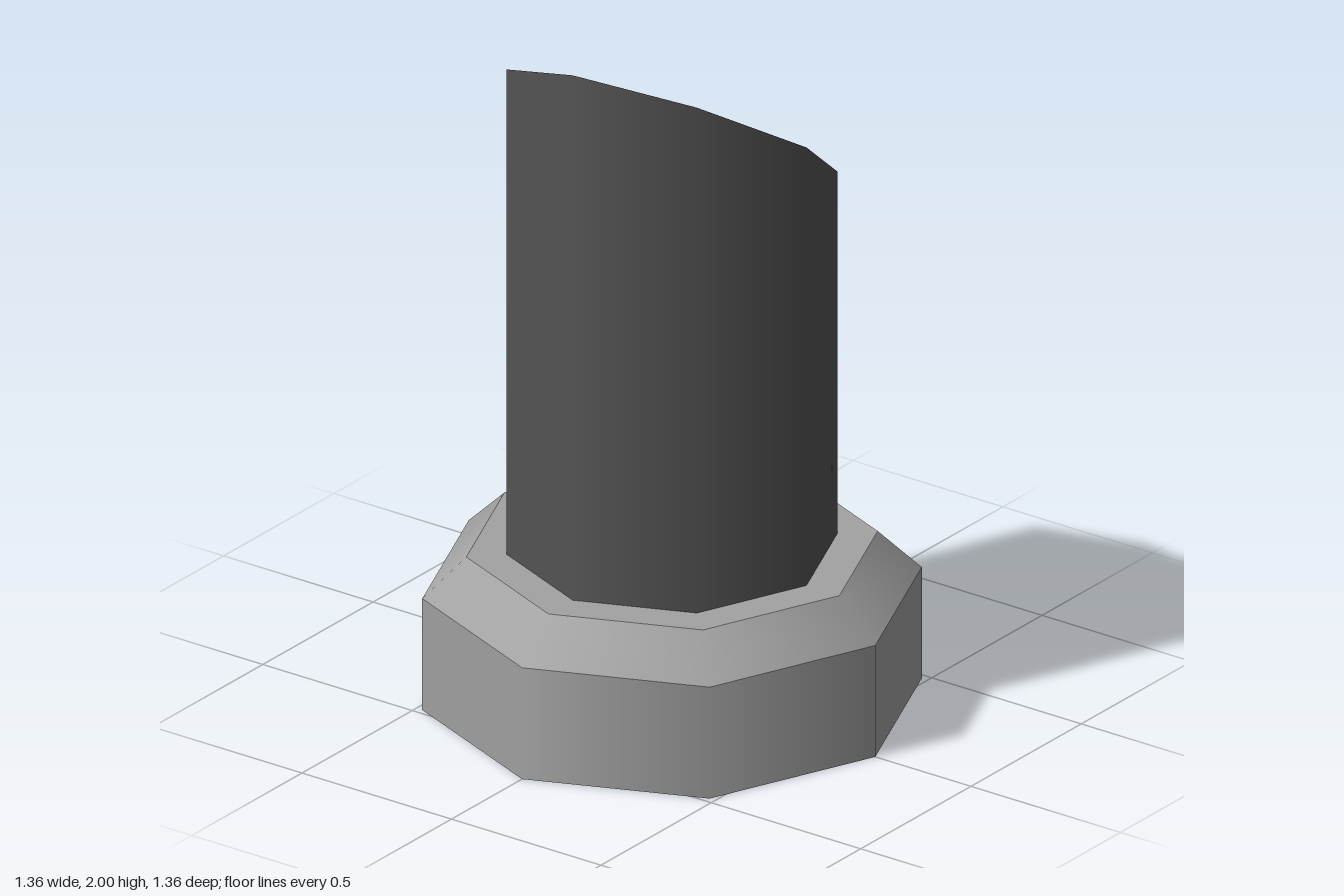
import * as THREE from 'three';
import { mergeGeometries } from 'three/addons/utils/BufferGeometryUtils.js';

const SIDES = 8;

// Octagonal turned shape: smooth around, with a sharp edge at every profile point
function turned(profile) {
  const bands = [];
  for (let i = 0; i < profile.length - 1; i++) {
    const pair = [profile[i], profile[i + 1]].map(([r, y]) => new THREE.Vector2(r, y));
    bands.push(new THREE.LatheGeometry(pair, SIDES));
  }
  return mergeGeometries(bands);
}

// Lift every vertex above y = 1 onto the slanted cutting plane
function slantTop(geometry) {
  const p = geometry.attributes.position;
  for (let i = 0; i < p.count; i++) {
    if (p.getY(i) > 1) p.setY(i, 1.7 + 0.095 * p.getX(i) + 0.667 * p.getZ(i));
  }
  return geometry;
}

export function createModel() {
  const group = new THREE.Group();
  const lightGrey = new THREE.MeshStandardMaterial({ name: 'lightGrey', color: 0xa3a3a3 });
  const darkGrey = new THREE.MeshStandardMaterial({ name: 'darkGrey', color: 0x555555 });

  const add = (name, geometry, material) => {
    const mesh = new THREE.Mesh(geometry, material);
    mesh.name = name;
    group.add(mesh);
  };

  // Base collar with a bevelled upper rim
  add('base', turned([[0, 0], [0.68, 0], [0.68, 0.33], [0.56, 0.445], [0.44, 0.445]]), lightGrey);

  // Column shaft, cut off at a slant
  add('column', slantTop(turned([[0.45, 0.44], [0.45, 1.7]])), darkGrey);

  // Flat slanted face closing the column
  const cap = new THREE.CircleGeometry(0.45, SIDES).rotateX(-Math.PI / 2).translate(0, 1.7, 0);
  slantTop(cap).computeVertexNormals();
  add('columnCutFace', cap, darkGrey);

  return group;
}
